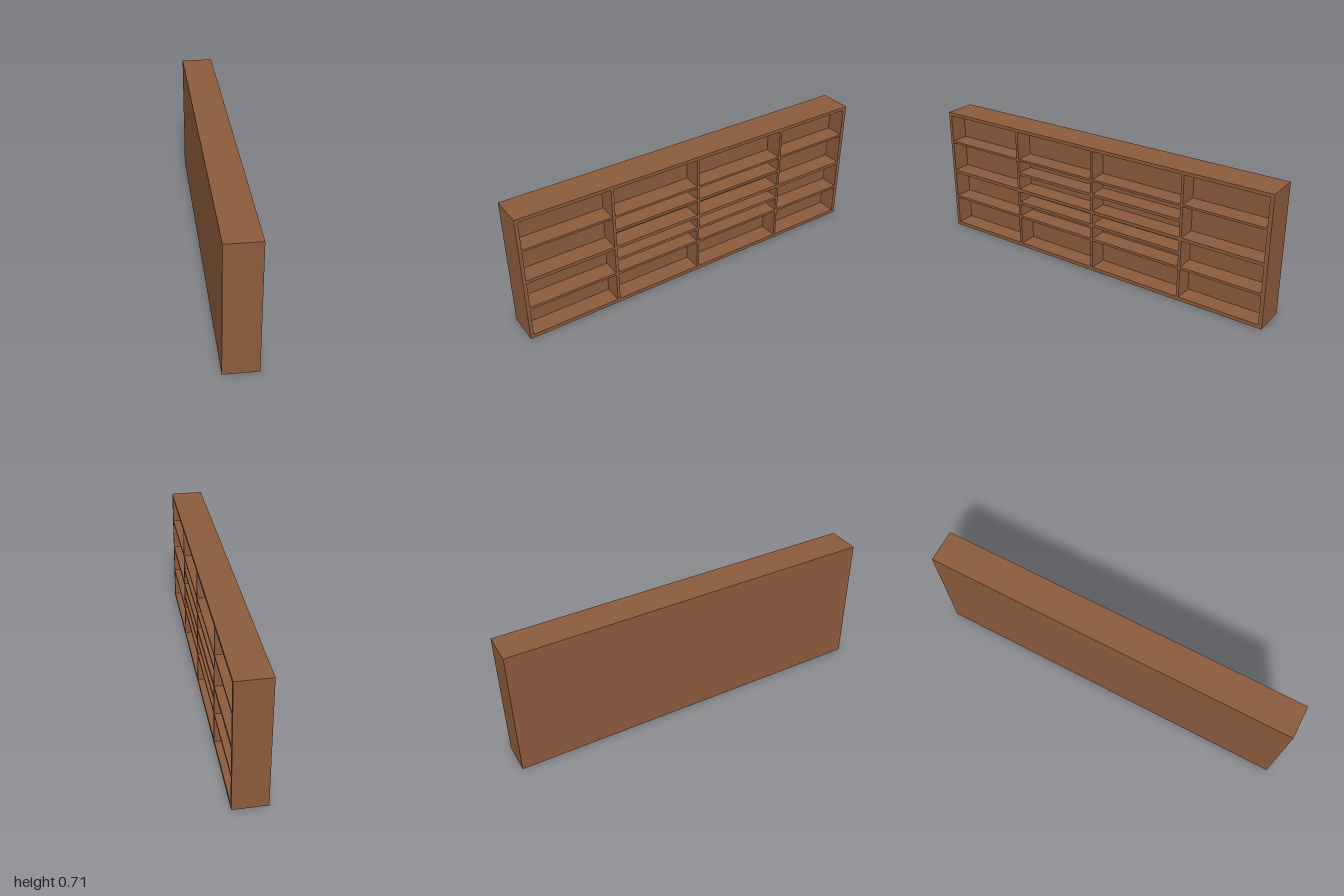
import * as THREE from 'three';

const W = 0.088;      // half depth of the case (x)
const H = 0.71;       // total height
const RECESS = -0.011; // x where the compartments end

export function createModel() {
  const group = new THREE.Group();
  const wood = new THREE.MeshStandardMaterial({ color: 0x8b5a3c });

  // Board spanning the given limits on each axis
  function board(name, x0, x1, y0, y1, z0, z1) {
    const mesh = new THREE.Mesh(new THREE.BoxGeometry(x1 - x0, y1 - y0, z1 - z0), wood);
    mesh.position.set((x0 + x1) / 2, (y0 + y1) / 2, (z0 + z1) / 2);
    mesh.name = name;
    group.add(mesh);
  }

  // Thick back and outer case
  const floor = 0.02, ceiling = 0.692;
  board('back', -W, RECESS, 0, H, -1, 1);
  board('bottomPanel', RECESS, W, 0, floor, -1, 1);
  board('topPanel', RECESS, W, ceiling, H, -1, 1);
  board('leftEndPanel', RECESS, W, floor, ceiling, 0.982, 1);
  board('rightEndPanel', RECESS, W, floor, ceiling, -1, -0.98);

  // Upright dividers between the four bays
  const dividers = [[0.491, 0.506], [-0.005, 0.008], [-0.541, -0.527]];
  dividers.forEach(([z0, z1], i) =>
    board(`divider${i + 1}`, RECESS, W, floor, ceiling, z0, z1));

  // Shelves: three in the end bays, five in the middle bays
  const mainShelves = [[0.18, 0.194], [0.34, 0.358], [0.526, 0.538]];
  const extraShelves = [[0.264, 0.28], [0.441, 0.456]];
  const bays = [
    { z: [0.506, 0.982], shelves: mainShelves },
    { z: [0.008, 0.491], shelves: [...mainShelves, ...extraShelves] },
    { z: [-0.527, -0.005], shelves: [...mainShelves, ...extraShelves] },
    { z: [-0.98, -0.541], shelves: mainShelves },
  ];
  bays.forEach(({ z, shelves }, b) =>
    shelves.forEach(([y0, y1], s) =>
      board(`bay${b + 1}Shelf${s + 1}`, RECESS, W, y0, y1, z[0], z[1])));

  return group;
}
